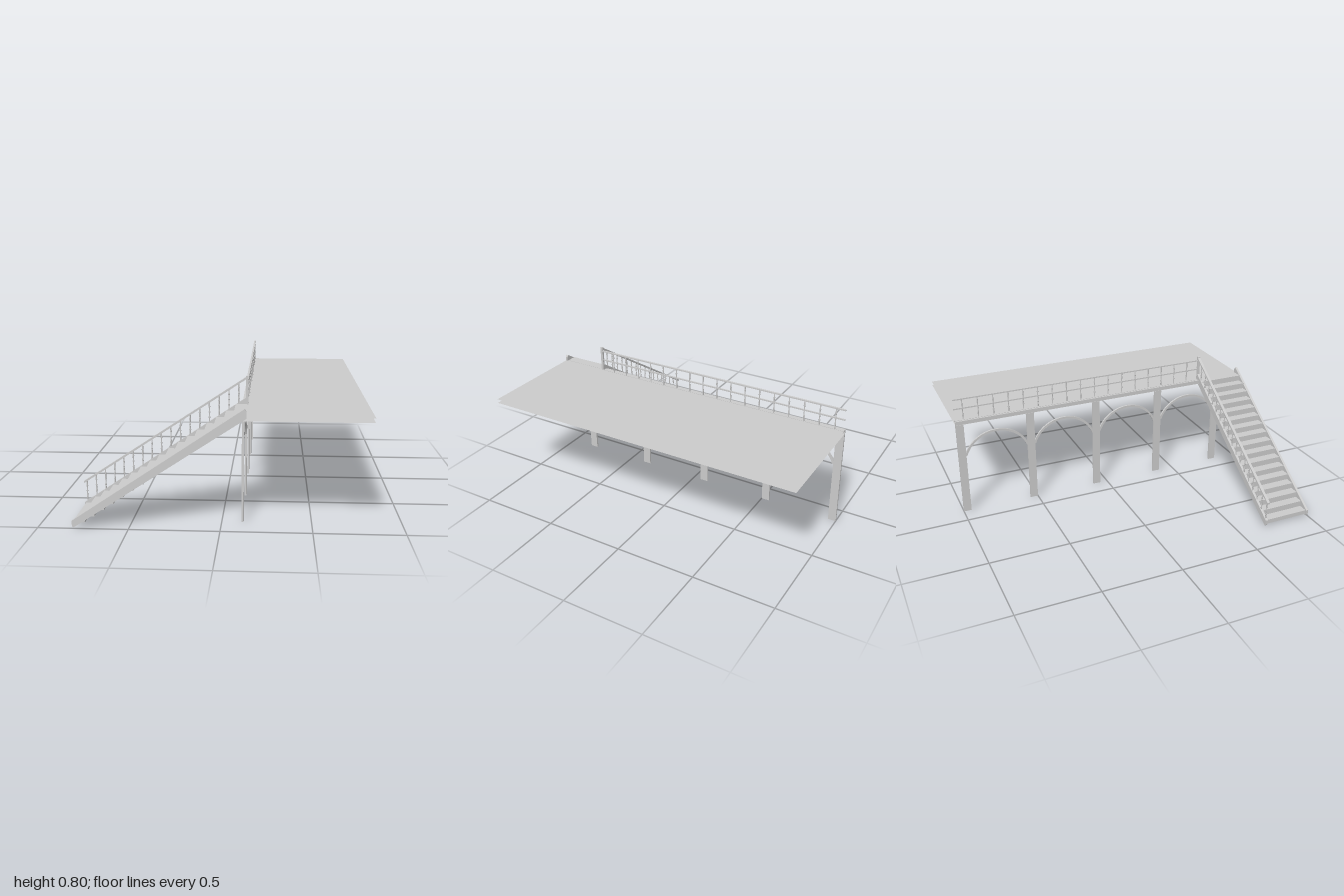
import * as THREE from 'three';

const mat = new THREE.MeshStandardMaterial({ color: 0xcccccc, side: THREE.DoubleSide });
const flat = new THREE.MeshStandardMaterial({ color: 0xcccccc, side: THREE.DoubleSide, flatShading: true });

export function createModel() {
  const root = new THREE.Group();

  const add = (name, geo, material = flat) => {
    const m = new THREE.Mesh(geo, material);
    m.name = name;
    root.add(m);
    return m;
  };
  // Box given by its min and max corners
  const box = (name, x0, x1, y0, y1, z0, z1) => {
    const m = add(name, new THREE.BoxGeometry(x1 - x0, y1 - y0, z1 - z0));
    m.position.set((x0 + x1) / 2, (y0 + y1) / 2, (z0 + z1) / 2);
    return m;
  };
  // Side outline in x/y, extruded from z0 to z1
  const slab = (name, pts, z0, z1) => {
    const shape = new THREE.Shape(pts.map(p => new THREE.Vector2(p[0], p[1])));
    const geo = new THREE.ExtrudeGeometry(shape, { depth: z1 - z0, bevelEnabled: false });
    geo.translate(0, 0, z0);
    return add(name, geo);
  };
  // Turned baluster with small rings, standing on y0
  const baluster = (name, x, y0, y1, z) => {
    const h = y1 - y0;
    const profile = [[0.004, 0], [0.004, 0.2], [0.006, 0.24], [0.004, 0.28], [0.003, 0.46], [0.006, 0.5],
      [0.003, 0.54], [0.004, 0.72], [0.006, 0.76], [0.004, 0.8], [0.004, 1]];
    const geo = new THREE.LatheGeometry(profile.map(p => new THREE.Vector2(p[0], p[1] * h)), 8);
    add(name, geo, mat).position.set(x, y0, z);
  };

  // Deck: an open-sided pair of sheets with a fascia on the column side
  for (const [name, y] of [['deckTop', 0.638], ['deckUnderside', 0.613]]) {
    const sheet = add(name, new THREE.PlaneGeometry(0.705, 2).rotateX(name === 'deckTop' ? -Math.PI / 2 : Math.PI / 2));
    sheet.position.set(0.4575, y, 0);
  }
  box('deckFascia', 0.106, 0.118, 0.6135, 0.6375, -1, 0.69);

  // Columns
  const columnZ = [0.825, 0.375, -0.075, -0.525, -0.975];
  for (const z of columnZ) box('column', 0.11, 0.122, 0, 0.613, z - 0.025, z + 0.025);

  // Arches between the columns
  const R = 0.222, t = 0.014, half = 1.21;
  for (let i = 0; i < 4; i++) {
    const arch = new THREE.Shape();
    arch.absarc(0, 0, R, Math.PI / 2 - half, Math.PI / 2 + half, false);
    arch.absarc(0, 0, R - t, Math.PI / 2 + half, Math.PI / 2 - half, true);
    const geo = new THREE.ExtrudeGeometry(arch, { depth: 0.012, bevelEnabled: false, curveSegments: 20 });
    geo.rotateY(Math.PI / 2);
    add('arch', geo).position.set(0.11, 0.542 - R, (columnZ[i] + columnZ[i + 1]) / 2);
  }

  // Deck railing
  box('deckRailTop', 0.128, 0.14, 0.769, 0.777, -1, 0.69);
  box('deckRailMiddle', 0.13, 0.138, 0.707, 0.715, -1, 0.69);
  box('deckRailBottom', 0.118, 0.14, 0.63, 0.64, -1, 0.69);
  for (let i = 0; i < 17; i++) baluster('deckBaluster', 0.134, 0.638, 0.772, 0.6 - i * 0.0965);

  // Stair treads and risers
  const run = 0.0545, rise = 0.0374;
  for (let i = 0; i < 17; i++) {
    const x = -0.803 + i * run, y = 0.03 + i * rise;
    box('tread', x, x + 0.063, y, y + 0.011, 0.69, 0.99);
    box('riser', x + 0.002, x + 0.008, i ? y - rise + 0.011 : 0.012, y, 0.69, 0.99);
  }

  // Stringers on both sides of the stairs
  const outline = [[-0.803, 0.004], [0.14, 0.626], [0.14, 0.664], [0.131, 0.678], [-0.81, 0.043], [-0.81, 0.012]];
  slab('stringerFront', outline, 0.985, 1);
  slab('stringerBack', outline, 0.682, 0.697);

  // Stair railing on the back stringer
  const topAt = x => 0.043 + (x + 0.81) * 0.675;
  const railAt = x => 0.166 + (x + 0.81) * 0.662;
  slab('stairRail', [[-0.81, railAt(-0.81) - 0.006], [0.14, railAt(0.14) - 0.006],
    [0.14, railAt(0.14) + 0.006], [-0.81, railAt(-0.81) + 0.006]], 0.681, 0.698);
  for (let i = 0; i < 17; i++) {
    const x = -0.794 + i * 0.055;
    baluster('stairBaluster', x, topAt(x) - 0.005, railAt(x), 0.69);
  }
  box('stairTopPost', 0.127, 0.14, 0.635, 0.798, 0.682, 0.698);

  return root;
}
